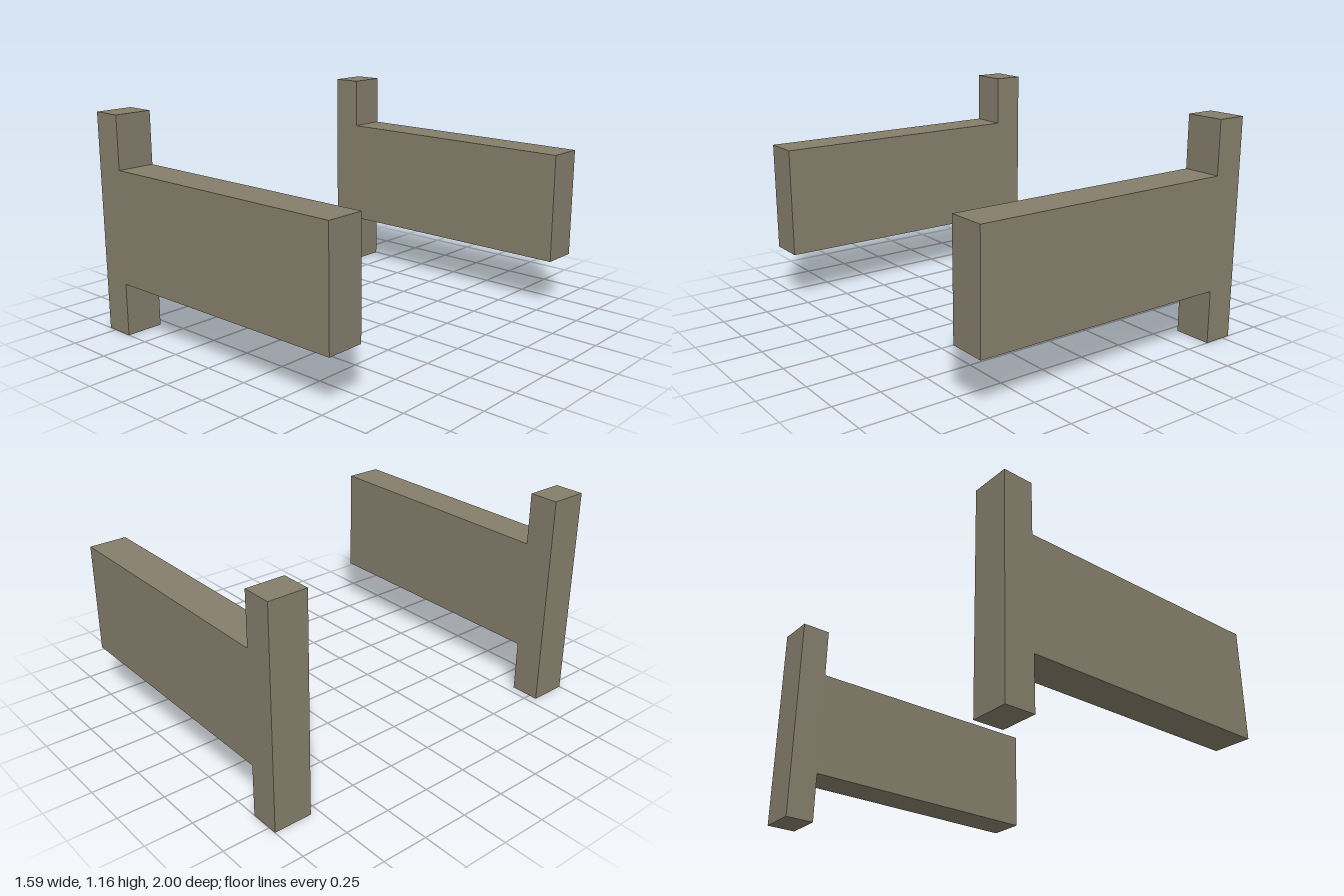
import * as THREE from 'three';

export function createModel() {
  const model = new THREE.Group();
  const stone = new THREE.MeshStandardMaterial({ color: 0x857e6b });
  stone.name = 'greyBrown';

  // Sideways T outline: upright flange at -x, broad web reaching to +x
  const outline = new THREE.Shape([
    [-0.795, 0], [-0.635, 0], [-0.635, 0.28], [0.795, 0.28],
    [0.795, 0.88], [-0.635, 0.88], [-0.635, 1.16], [-0.795, 1.16],
  ].map(([x, y]) => new THREE.Vector2(x, y)));

  const depth = 0.205;
  const geometry = new THREE.ExtrudeGeometry(outline, { depth, bevelEnabled: false });

  // Two identical slabs, front and back
  for (const [name, z] of [['frontSlab', 1 - depth], ['backSlab', -1]]) {
    const slab = new THREE.Mesh(geometry, stone);
    slab.name = name;
    slab.position.z = z;
    model.add(slab);
  }
  return model;
}
